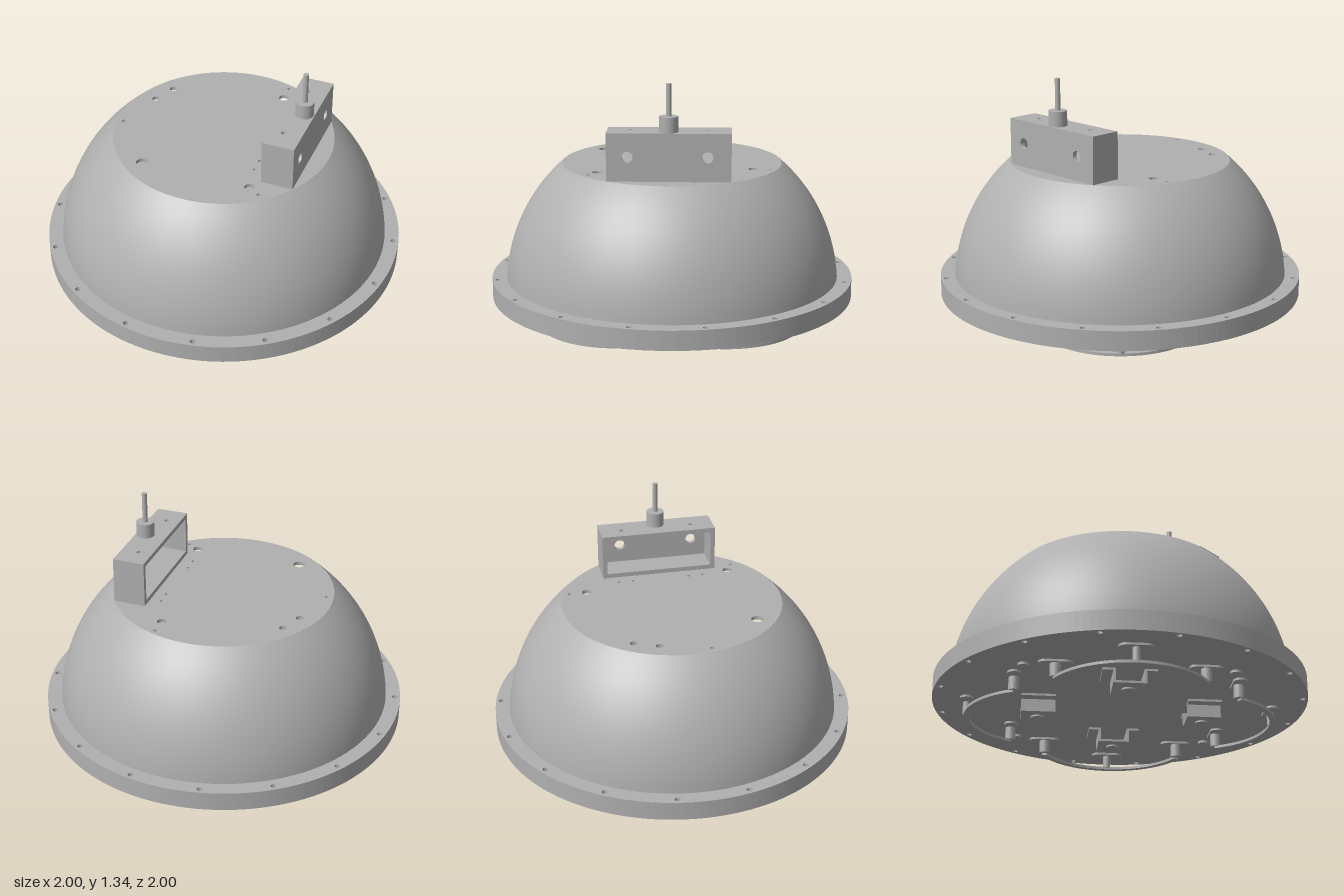
import * as THREE from 'three';

export function createModel() {
  const model = new THREE.Group();
  const grey = new THREE.MeshStandardMaterial({ color: 0xb0b0b0 });
  grey.name = 'metalGrey';

  const add = (parent, name, geo, x = 0, y = 0, z = 0) => {
    const m = new THREE.Mesh(geo, grey);
    m.name = name;
    m.position.set(x, y, z);
    parent.add(m);
    return m;
  };
  const circle = (x, y, r) => new THREE.Path().absarc(x, y, r, 0, Math.PI * 2, true);
  // Upright prism: shape coordinates are (x, -z), height runs up from y = 0
  const slab = (shape, depth, curveSegments = 24) =>
    new THREE.ExtrudeGeometry(shape, { depth, bevelEnabled: false, curveSegments }).rotateX(-Math.PI / 2);
  const rod = (r, h, seg = 28) => new THREE.CylinderGeometry(r, r, h, seg).translate(0, h / 2, 0);
  const box = (w, h, d) => new THREE.BoxGeometry(w, h, d);
  const disc = (r) => new THREE.Shape().absarc(0, 0, r, 0, Math.PI * 2, false);

  // Base flange with a ring of bolt holes
  const flange = disc(1);
  for (let i = 0; i < 16; i++) {
    const a = ((i + 0.5) / 16) * Math.PI * 2;
    flange.holes.push(circle(0.97 * Math.cos(a), 0.97 * Math.sin(a), 0.015));
  }
  add(model, 'baseFlange', slab(flange, 0.105, 80), 0, 0.095, 0);

  // Spherical dome, cut flat at the top
  const R = 0.9224, cy = 0.134, profile = [];
  const a0 = Math.asin((0.2 - cy) / R), a1 = Math.asin((0.832 - cy) / R);
  for (let i = 0; i <= 24; i++) {
    const a = a0 + ((a1 - a0) * i) / 24;
    profile.push(new THREE.Vector2(R * Math.cos(a), cy + R * Math.sin(a)));
  }
  add(model, 'dome', new THREE.LatheGeometry(profile, 96));

  // Flat top plate with drilled holes: x, z, radius
  const top = disc(0.603);
  [[0.195, -0.44, 0.027], [0.195, -0.535, 0.01], [-0.425, -0.3, 0.02], [-0.48, -0.175, 0.02],
    [-0.56, 0.085, 0.011], [-0.315, 0.395, 0.033], [0.29, 0.39, 0.027], [0.355, 0.43, 0.011],
    [0.275, -0.24, 0.009], [0.275, -0.16, 0.009], [0.265, 0.16, 0.009], [0.265, 0.24, 0.009],
  ].forEach(([x, z, r]) => top.holes.push(circle(x, -z, r)));
  add(model, 'topPlate', slab(top, 0.02, 64), 0, 0.812, 0);

  // Connector housing: a box open towards -x
  const W = 0.175, H = 0.253, D = 0.645, t = 0.025;
  const housing = new THREE.Group();
  housing.name = 'connectorHousing';
  housing.position.set(0.422, 0.832, 0.004);
  housing.rotation.y = -0.015;
  model.add(housing);
  const rect = (w, h) => new THREE.Shape([
    new THREE.Vector2(-w / 2, -h / 2), new THREE.Vector2(w / 2, -h / 2),
    new THREE.Vector2(w / 2, h / 2), new THREE.Vector2(-w / 2, h / 2)]);
  const wall = rect(D, H);
  wall.holes.push(circle(-0.214, 0.002, 0.029), circle(0.2, 0.002, 0.029));
  add(housing, 'housingWall',
    new THREE.ExtrudeGeometry(wall, { depth: t, bevelEnabled: false, curveSegments: 24 }).rotateY(Math.PI / 2),
    W / 2 - t, H / 2, 0);
  const roof = rect(W - t, D);
  roof.holes.push(circle(0, 0.2, 0.013), circle(0, -0.2, 0.013));
  add(housing, 'housingRoof', slab(roof, t), -t / 2, H - t, 0);
  add(housing, 'housingFloor', box(W - t, t, D), -t / 2, t / 2, 0);
  for (const s of [-1, 1])
    add(housing, 'housingEnd', box(W - t, H - 2 * t, t), -t / 2, H / 2, s * (D - t) / 2);

  // Cable gland and cable
  add(model, 'cableGland', rod(0.049, 0.081, 40), 0.455, 1.085, 0.006);
  add(model, 'cable', rod(0.014, 0.17), 0.455, 1.165, 0.006);

  // Underside: four identical sets of arc rail, posts and clip
  const arcR = 0.416, half = (65 * Math.PI) / 180, arcX = 0.4;
  const rail = new THREE.Shape();
  rail.absarc(arcX, 0, arcR + 0.015, -half, half, false);
  rail.absarc(arcX, 0, arcR - 0.015, half, -half, true);
  const pad = new THREE.Shape();
  pad.absarc(0, 0.05, 0.036, 0, Math.PI, false);
  pad.absarc(0, -0.05, 0.036, Math.PI, Math.PI * 2, false);
  for (let k = 0; k < 4; k++) {
    const set = new THREE.Group();
    set.name = 'undersideSet';
    set.rotation.y = Math.PI / 4 + (k * Math.PI) / 2;
    model.add(set);
    add(set, 'arcRail', slab(rail, 0.015, 40));
    for (const a of [-half, 0, half]) {
      const x = arcX + arcR * Math.cos(a), z = arcR * Math.sin(a);
      add(set, 'railPost', rod(a ? 0.028 : 0.02, 0.075), x, 0.012, z);
      add(set, 'postPad', slab(pad, 0.013), x, 0.083, z);
    }
    // Hat-section clip with a screw head
    const c = 0.44;
    add(set, 'clipBase', box(0.18, 0.012, 0.17), c, 0.022, 0);
    for (const s of [-1, 1]) {
      add(set, 'clipLeg', box(0.18, 0.068, 0.012), c, 0.06, s * 0.079);
      add(set, 'clipFoot', box(0.18, 0.012, 0.055), c, 0.089, s * 0.112);
    }
    add(set, 'clipScrew', rod(0.036, 0.01), c, 0.007, 0);
    // Small boss between neighbouring sets
    const b = Math.PI / 4;
    add(set, 'plateBoss', rod(0.03, 0.014), 0.755 * Math.cos(b), 0.082, 0.755 * Math.sin(b));
  }
  return model;
}
